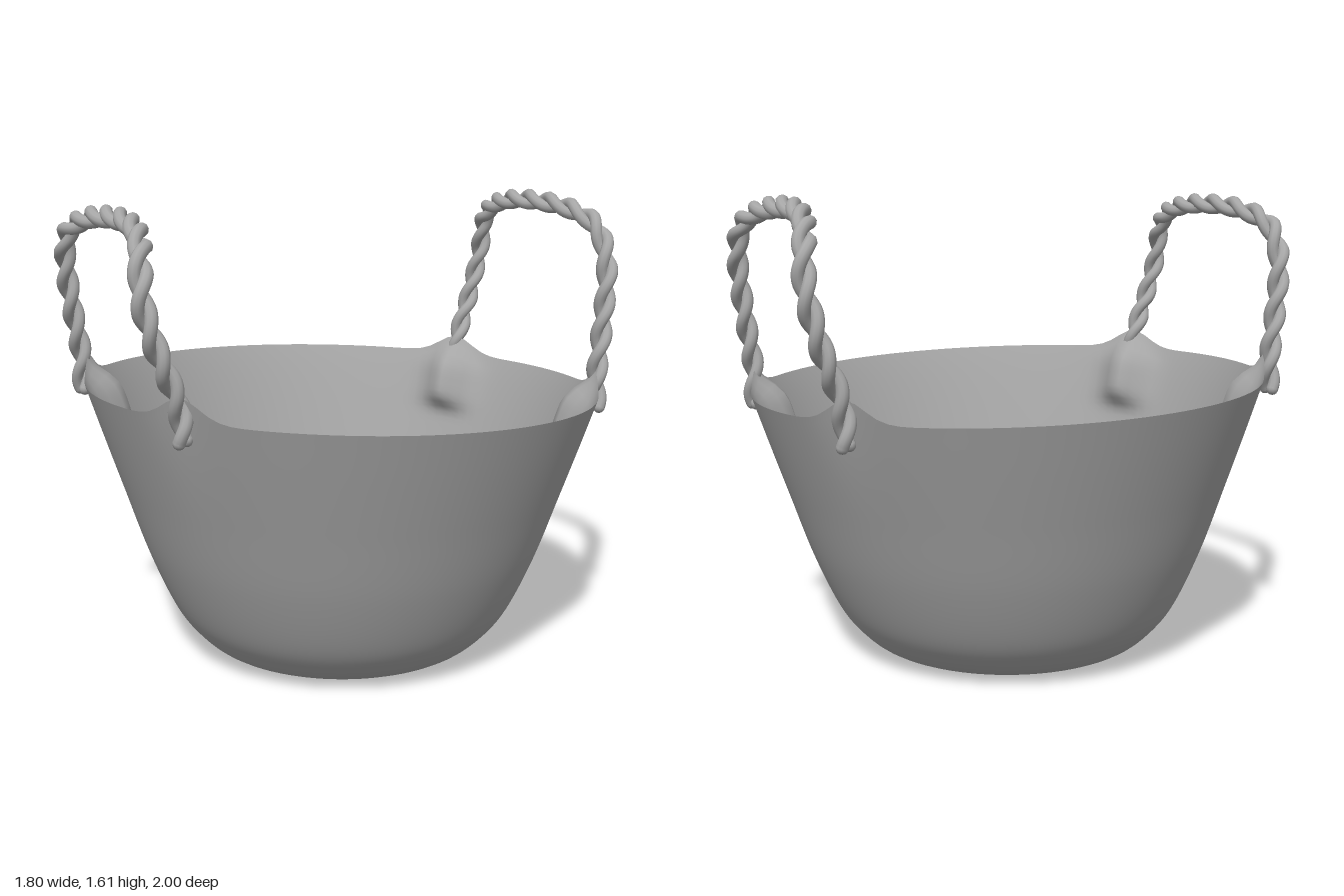
import * as THREE from 'three';

// Centre line of the front handle, from foot to foot
const FRONT_PATH = [
  [-0.555, 0.93, 0.74], [-0.56, 1.03, 0.735], [-0.55, 1.2, 0.765], [-0.525, 1.39, 0.8],
  [-0.45, 1.5, 0.82], [-0.32, 1.55, 0.82], [-0.12, 1.57, 0.825], [0.06, 1.56, 0.85],
  [0.2, 1.525, 0.895], [0.295, 1.46, 0.945], [0.33, 1.36, 0.962], [0.34, 1.2, 0.92],
  [0.325, 1.03, 0.845], [0.325, 0.92, 0.835],
].map(p => new THREE.Vector3(...p));

// The back handle is the front one turned half round, with slightly longer legs
const BACK_PATH = FRONT_PATH.map(
  p => new THREE.Vector3(-p.x - 0.03, 1.57 - (1.57 - p.y) * 1.1, -p.z));

// Directions in which the rim rises to meet the handle feet
const FEET = [FRONT_PATH, BACK_PATH]
  .flatMap(path => [path[1], path[path.length - 2]])
  .map(p => Math.atan2(p.x, p.z));

function footBump(angle, width) {
  let sum = 0;
  for (const foot of FEET) {
    const d = Math.atan2(Math.sin(angle - foot), Math.cos(angle - foot));
    sum += Math.exp(-((d / width) ** 2));
  }
  return sum;
}

// One skin of the bowl: a turned profile with tilted rim, raised feet and inner pads
function bowlSkin(inner) {
  const RIM = 0.955, SEG = 144;
  const profile = new THREE.SplineCurve([
    [0.002, 0], [0.2, 0], [0.38, 0.003], [0.47, 0.025], [0.545, 0.085], [0.615, 0.18],
    [0.7, 0.37], [0.78, 0.6], [0.845, 0.79], [0.9, RIM],
  ].map(p => new THREE.Vector2(...p))).getSpacedPoints(64);

  const position = [], index = [];
  profile.forEach((p, i) => {
    const t = p.y / RIM;
    for (let j = 0; j < SEG; j++) {
      const a = (j / SEG) * Math.PI * 2;
      let r = p.x;
      let y = p.y + t * 0.033 * Math.cos(a) + 0.07 * footBump(a, 0.11) * Math.max(t, 0) ** 7;
      if (inner) {
        const thin = 1 - Math.max(t, 0) ** 8;
        const pad = 0.085 * footBump(a, 0.1) * Math.exp(-(((t - 0.87) / 0.1) ** 4));
        r = r * (1 - 0.015 * thin) - pad * Math.min(1, thin * 3);
        y += 0.015 * (1 - t);
      }
      position.push(r * Math.sin(a), y, r * Math.cos(a));
      if (i < profile.length - 1) {
        const k = (j + 1) % SEG, lo = i * SEG, hi = lo + SEG;
        if (inner) index.push(lo + j, hi + k, lo + k, lo + j, hi + j, hi + k);
        else index.push(lo + j, lo + k, hi + k, lo + j, hi + k, hi + j);
      }
    }
  });
  const geometry = new THREE.BufferGeometry();
  geometry.setAttribute('position', new THREE.Float32BufferAttribute(position, 3));
  geometry.setIndex(index);
  geometry.computeVertexNormals();
  return geometry;
}

// A rope of two strands wound round a centre line
function twistedHandle(path, name, material) {
  const group = new THREE.Group();
  group.name = name;
  const curve = new THREE.CatmullRomCurve3(path);
  const N = 160, OFFSET = 0.018, RADIUS = 0.021;
  const turns = curve.getLength() / 0.23;
  const frames = curve.computeFrenetFrames(N, false);
  const centres = curve.getSpacedPoints(N);

  for (let s = 0; s < 2; s++) {
    const points = centres.map((c, i) => {
      const a = (i / N) * turns * Math.PI * 2 + s * Math.PI;
      return c.clone()
        .addScaledVector(frames.normals[i], OFFSET * Math.cos(a))
        .addScaledVector(frames.binormals[i], OFFSET * Math.sin(a));
    });
    const strand = new THREE.Mesh(
      new THREE.TubeGeometry(new THREE.CatmullRomCurve3(points), 260, RADIUS, 10), material);
    strand.name = 'ropeStrand';
    group.add(strand);
    // Rounded strand ends
    for (const end of [points[0], points[N]]) {
      const tip = new THREE.Mesh(new THREE.SphereGeometry(RADIUS, 10, 8), material);
      tip.name = 'strandTip';
      tip.position.copy(end);
      group.add(tip);
    }
  }
  return group;
}

export function createModel() {
  const model = new THREE.Group();
  model.name = 'basket';
  const grey = new THREE.MeshStandardMaterial({ color: 0xa6a6a6 });
  grey.name = 'plain grey';

  const outer = new THREE.Mesh(bowlSkin(false), grey);
  outer.name = 'bowlOutside';
  const inner = new THREE.Mesh(bowlSkin(true), grey);
  inner.name = 'bowlInside';

  model.add(
    outer, inner,
    twistedHandle(FRONT_PATH, 'frontHandle', grey),
    twistedHandle(BACK_PATH, 'backHandle', grey),
  );
  return model;
}
